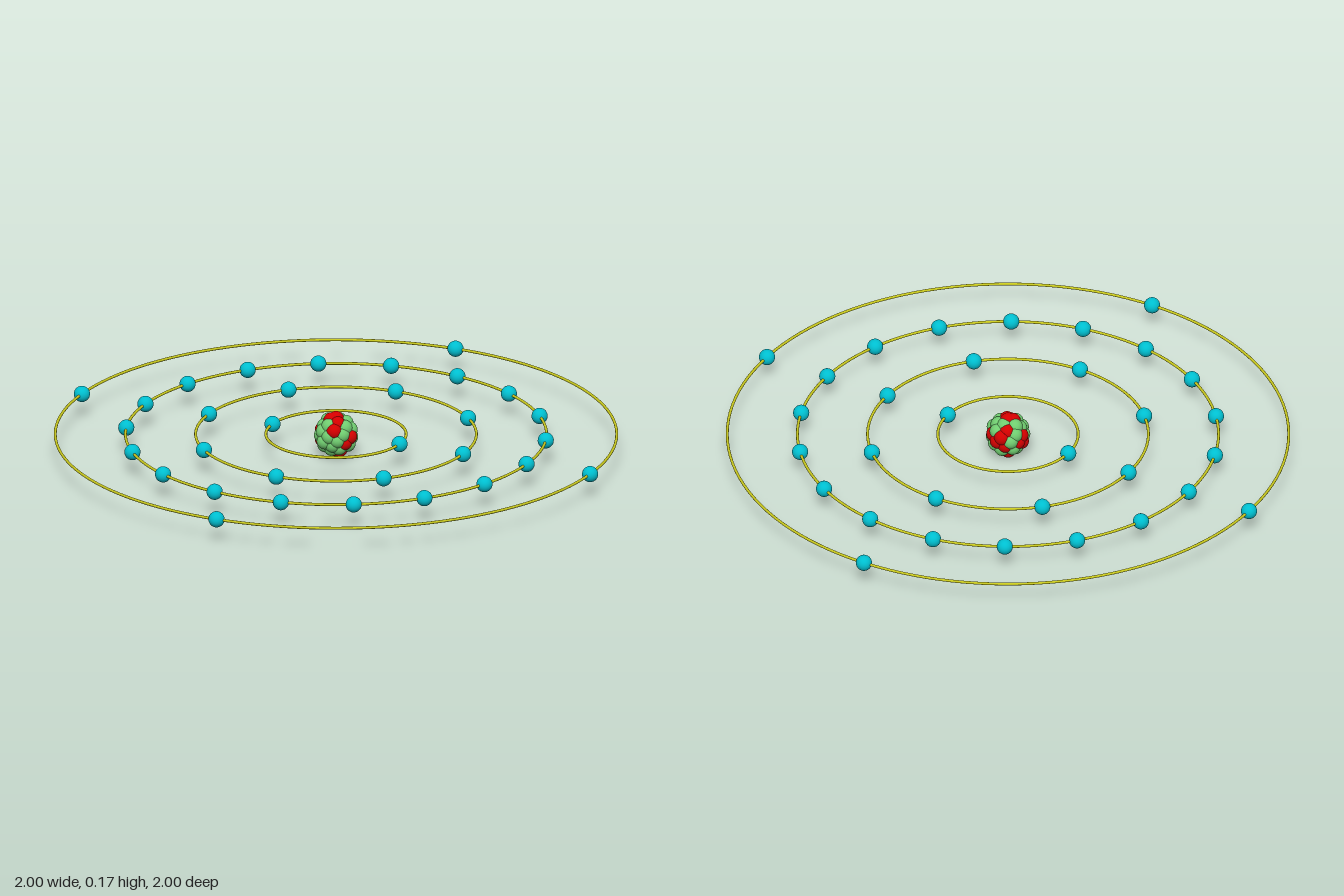
import * as THREE from 'three';

const CENTER_Y = 0.083;
const BALL_RADIUS = 0.028;
const ORBIT_STEP = 0.243;
const ELECTRONS_PER_ORBIT = [2, 8, 18, 4];

export function createModel() {
  const model = new THREE.Group();
  model.name = 'atom';

  const material = (color) => new THREE.MeshStandardMaterial({ color });
  const orbitMaterial = material(0xc8c81e);
  const electronMaterial = material(0x00bfd0);
  const protonMaterial = material(0xd40000);
  const neutronMaterial = material(0x70cc70);

  const ballGeometry = new THREE.SphereGeometry(BALL_RADIUS, 24, 16);
  const addBall = (parent, name, mat, position) => {
    const ball = new THREE.Mesh(ballGeometry, mat);
    ball.name = name;
    ball.position.copy(position);
    parent.add(ball);
  };

  // Flat circular orbits with evenly spaced electrons
  ELECTRONS_PER_ORBIT.forEach((count, i) => {
    const radius = ORBIT_STEP * (i + 1);
    const shell = new THREE.Group();
    shell.name = `electronShell${i + 1}`;
    shell.position.y = CENTER_Y;

    const orbit = new THREE.Mesh(new THREE.TorusGeometry(radius, 0.005, 10, 128), orbitMaterial);
    orbit.name = 'orbit';
    orbit.rotation.x = Math.PI / 2;
    shell.add(orbit);

    for (let k = 0; k < count; k++) {
      const angle = (k / count) * Math.PI * 2;
      const position = new THREE.Vector3(Math.cos(angle) * radius, 0, Math.sin(angle) * radius);
      addBall(shell, 'electron', electronMaterial, position);
    }
    model.add(shell);
  });

  // Nucleus: protons and neutrons packed in a spiral over a small sphere
  const nucleus = new THREE.Group();
  nucleus.name = 'nucleus';
  nucleus.position.y = CENTER_Y;
  const nucleonCount = 44;
  const spread = CENTER_Y - BALL_RADIUS;
  let seed = 7;
  const random = () => (seed = (seed * 16807) % 2147483647) / 2147483647;
  for (let k = 0; k < nucleonCount; k++) {
    const y = 1 - (2 * k) / (nucleonCount - 1);
    const ring = Math.sqrt(Math.max(0, 1 - y * y));
    const angle = k * Math.PI * (3 - Math.sqrt(5));
    const depth = k === 0 || k === nucleonCount - 1 ? spread : spread * (0.86 + 0.14 * random());
    const position = new THREE.Vector3(Math.cos(angle) * ring, y, Math.sin(angle) * ring);
    const isProton = random() < 0.5;
    addBall(nucleus, isProton ? 'proton' : 'neutron',
      isProton ? protonMaterial : neutronMaterial, position.multiplyScalar(depth));
  }
  model.add(nucleus);

  return model;
}
